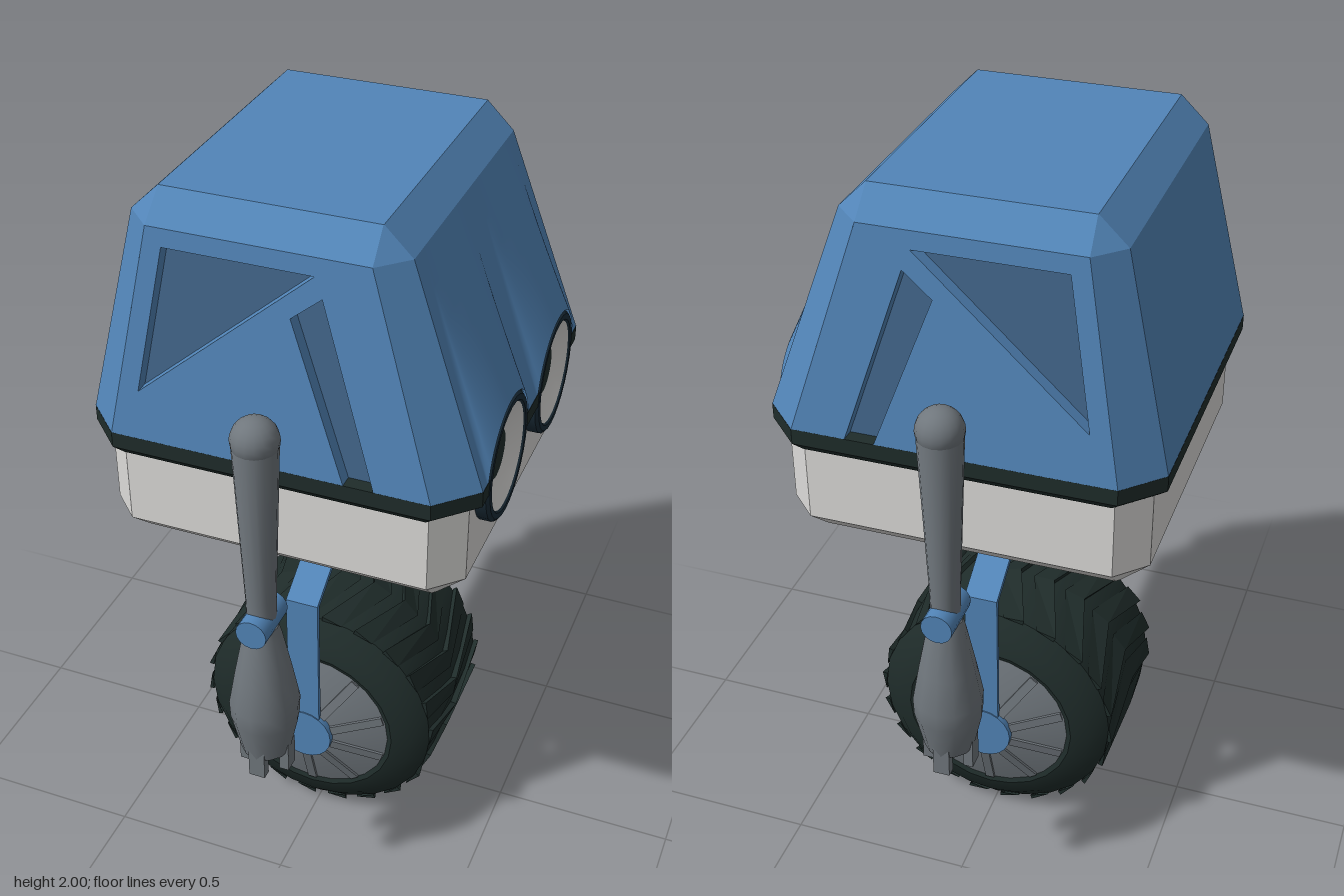
import * as THREE from 'three';
import { toCreasedNormals } from 'three/addons/utils/BufferGeometryUtils.js';

const mat = (name, color, side = THREE.FrontSide) => {
  const m = new THREE.MeshStandardMaterial({ color, side });
  m.name = name;
  return m;
};

export function createModel() {
  const root = new THREE.Group();
  root.name = 'unicycleRobot';
  const blue = mat('blue paint', 0x5285b8, THREE.DoubleSide);
  const deepBlue = mat('recess blue', 0x416488);
  const white = mat('off white', 0xdcdbd9);
  const gray = mat('gray metal', 0x70777d);
  const rubber = mat('black rubber', 0x1f2c2a, THREE.DoubleSide);
  const navy = mat('dark navy', 0x1b2d39);

  const add = (name, geo, material, parent = root) => {
    const m = new THREE.Mesh(geo, material);
    m.name = name;
    parent.add(m);
    return m;
  };
  const lathe = (pts, seg, crease = 0.6) =>
    toCreasedNormals(new THREE.LatheGeometry(pts.map(p => new THREE.Vector2(...p)), seg), crease);
  const shapeOf = pts => new THREE.Shape(pts.map(p => new THREE.Vector2(...p)));
  // Flat-shaded faces from convex polygons
  const polys = list => {
    const v = [];
    for (const p of list)
      for (let i = 1; i < p.length - 1; i++) v.push(...p[0], ...p[i], ...p[i + 1]);
    const g = new THREE.BufferGeometry();
    g.setAttribute('position', new THREE.Float32BufferAttribute(v, 3));
    g.computeVertexNormals();
    return g;
  };
  // Chamfered rectangle ring at height y; edge 0 is +x, 2 is -z, 4 is -x, 6 is +z
  const ring = (x0, x1, z, c, y) => [
    [x1, y, z - c], [x1, y, c - z], [x1 - c, y, -z], [x0 + c, y, -z],
    [x0, y, c - z], [x0, y, z - c], [x0 + c, y, z], [x1 - c, y, z]];
  const band = (a, b, skip = []) => a.map((p, i) => {
    const j = (i + 1) % a.length;
    return [p, a[j], b[j], b[i]];
  }).filter((_, i) => !skip.includes(i));

  // Lower body tub
  const t0 = ring(-0.395, 0.395, 0.395, 0.01, 1.04);
  const t1 = ring(-0.47, 0.47, 0.47, 0.075, 1.11);
  const t2 = ring(-0.47, 0.47, 0.47, 0.075, 1.34);
  add('lowerBody', polys([...band(t0, t1), ...band(t1, t2), [...t0].reverse()]), white);

  // Upper shell: corners, back, roof bevels and roof
  const s0 = ring(-0.505, 0.505, 0.505, 0.095, 1.385);
  const s1 = ring(-0.38, 0.308, 0.44, 0.07, 1.93);
  const s2 = ring(-0.307, 0.237, 0.37, 0.001, 2.0);
  add('upperShell', polys([...band(s0, s1, [0, 2, 6]), ...band(s1, s2), s2]), blue);

  // Face panel sweeping from the roof down to hoods over the eyes
  const eyeY = 1.357, eyeZ = 0.206, eyeR = 0.165;
  const face = new THREE.PlaneGeometry(2, 1, 80, 6);
  const fp = face.attributes.position;
  for (let i = 0; i < fp.count; i++) {
    const t = -fp.getX(i), k = 0.5 - fp.getY(i);
    const zb = t * 0.41, d = Math.abs(zb) - eyeZ;
    const yb = Math.max(1.385, eyeY + Math.sqrt(Math.max(0, eyeR * eyeR - d * d)));
    fp.setXYZ(i, 0.308 + 0.197 * k, 1.93 + (yb - 1.93) * k, t * 0.37 + (zb - t * 0.37) * k);
  }
  face.computeVertexNormals();
  add('facePanel', face, blue);

  // Side panels with a recessed triangle and a slanted slot
  const onSide = g => {
    const p = g.attributes.position;
    for (let i = 0; i < p.count; i++)
      p.setZ(i, p.getZ(i) + 0.505 - (p.getY(i) - 1.385) * 0.1193);
    g.computeVertexNormals();
    return g;
  };
  const panel = shapeOf([[-0.41, 1.385], [0.195, 1.385], [0.05, 1.775], [0.125, 1.835],
    [0.27, 1.385], [0.41, 1.385], [0.238, 1.93], [-0.31, 1.93]]);
  panel.holes.push(shapeOf([[-0.27, 1.885], [0.105, 1.885], [-0.335, 1.513]]));
  const panelGeo = onSide(new THREE.ExtrudeGeometry(panel, { depth: 0.04, bevelEnabled: false }).translate(0, 0, -0.04));
  const floorGeo = onSide(new THREE.ShapeGeometry(
    shapeOf([[-0.4, 1.385], [0.4, 1.385], [0.23, 1.92], [-0.3, 1.92]])).translate(0, 0, -0.036));

  // Rubber belt, notched behind the eyes
  const a = eyeZ - 0.15, b = eyeZ + 0.15;
  const beltShape = shapeOf([[0.41, -0.505], [0.505, -0.41], [0.505, -b], [0.46, -b], [0.46, -a], [0.505, -a],
    [0.505, a], [0.46, a], [0.46, b], [0.505, b], [0.505, 0.41], [0.41, 0.505],
    [-0.41, 0.505], [-0.505, 0.41], [-0.505, -0.41], [-0.41, -0.505]]);
  const belt = (y, h, shrink) => {
    const g = new THREE.ExtrudeGeometry(beltShape, { depth: h, bevelEnabled: false }).rotateX(-Math.PI / 2);
    const p = g.attributes.position;
    for (let i = 0; i < p.count; i++) {
      const k = p.getY(i) < h / 2 ? shrink : 1;
      p.setXYZ(i, p.getX(i) * k, p.getY(i) + y, p.getZ(i) * k);
    }
    g.computeVertexNormals();
    return g;
  };
  add('belt', belt(1.345, 0.042, 1), rubber);
  add('beltLip', belt(1.32, 0.025, 0.955), rubber);

  // Swivel neck
  add('neck', lathe([[0, 0.882], [0.07, 0.885], [0.14, 0.915], [0.14, 0.935], [0.19, 0.935], [0.2, 0.945],
    [0.2, 0.97], [0.18, 0.97], [0.18, 0.995], [0.24, 1.0], [0.265, 1.04]], 16, 0.4), gray);

  // Wheel
  const wheel = new THREE.Group();
  wheel.name = 'wheel';
  wheel.position.y = 0.35;
  root.add(wheel);
  add('tire', lathe([[0.225, -0.25], [0.24, -0.256], [0.29, -0.24], [0.335, -0.2],
    [0.335, 0.2], [0.29, 0.24], [0.24, 0.256], [0.225, 0.25]], 24, 0.5).rotateX(Math.PI / 2), rubber, wheel);
  const P = (ang, z, r) => [r * Math.cos(ang), r * Math.sin(ang), z];
  const tread = [];
  for (let i = 0; i < 22; i++) {
    const t = i / 22 * Math.PI * 2;
    for (const s of [-1, 1]) {
      const A = P(t, 0, 0.338), B = P(t + 0.22, s * 0.205, 0.336);
      const C = P(t + 0.17, 0, 0.35), D = P(t + 0.39, s * 0.205, 0.347);
      const E = P(t + 0.17, 0, 0.333), F = P(t + 0.39, s * 0.205, 0.333);
      const quads = [[A, B, D, C], [C, D, F, E], [B, F, D]];
      tread.push(...quads.map(q => (s > 0 ? q.reverse() : q)));
    }
  }
  add('tread', polys(tread), rubber, wheel);

  // Fork over the wheel
  const fork = new THREE.ExtrudeGeometry(shapeOf([
    [-0.312, 0.35], [-0.312, 0.823], [-0.2, 0.893], [0.2, 0.893], [0.312, 0.823], [0.312, 0.35],
    [0.299, 0.35], [0.299, 0.813], [0.196, 0.878], [-0.196, 0.878], [-0.299, 0.813], [-0.299, 0.35]]),
    { depth: 0.09, bevelEnabled: false });
  add('fork', fork.translate(0, 0, -0.045).rotateY(-Math.PI / 2), blue);

  // Eyes on the +x face
  const eyeParts = [
    ['eyeRim', [[eyeR, -0.05], [eyeR, -0.008], [0.157, 0], [0.142, 0], [0.136, -0.006]], navy],
    ['eyeDish', [[0.139, -0.004], [0.1, -0.022], [0.062, -0.03]], white],
    ['pupil', [[0.064, -0.029], [0, -0.029]], rubber]];

  // Paired parts, mirrored across z
  for (const s of [1, -1]) {
    const half = new THREE.Group();
    half.name = s > 0 ? 'leftHalf' : 'rightHalf';
    half.scale.z = s;
    root.add(half);
    add('sidePanel', panelGeo, blue, half);
    add('panelRecess', floorGeo, deepBlue, half);
    for (const [name, pts, m] of eyeParts) {
      const e = add(name, lathe(pts, 28).rotateZ(-Math.PI / 2), m, half);
      e.position.set(0.507, eyeY, eyeZ);
      e.scale.z = 0.97;
    }
    // Hub cone with raised spokes, and axle cap
    const hub = add('hub', lathe([[0.235, 0.248], [0.08, 0.296], [0, 0.296]], 24).rotateX(Math.PI / 2), gray, half);
    hub.position.y = 0.35;
    for (let i = 0; i < 10; i++) {
      const arm = new THREE.Group();
      arm.name = 'spoke';
      arm.position.y = 0.35;
      arm.rotation.z = (i + 0.5) / 10 * Math.PI * 2;
      half.add(arm);
      const bar = add('spokeBar', new THREE.BoxGeometry(0.15, 0.026, 0.014), gray, arm);
      bar.position.set(0.15, 0, 0.274);
      bar.rotation.y = 0.3;
    }
    const cap = add('axleCap', new THREE.CylinderGeometry(0.08, 0.08, 0.022, 20).rotateX(Math.PI / 2), blue, half);
    cap.position.set(0, 0.35, 0.304);

    // Arm
    const arm = new THREE.Group();
    arm.name = 'arm';
    arm.position.z = 0.56;
    half.add(arm);
    add('shoulder', new THREE.SphereGeometry(0.06, 16, 12), gray, arm).position.y = 1.502;
    add('upperArm', lathe([[0, 0.97], [0.038, 0.97], [0.039, 1.04], [0.057, 1.48], [0.05, 1.53]], 16), gray, arm);
    add('elbow', new THREE.CylinderGeometry(0.041, 0.041, 0.135, 16).rotateX(Math.PI / 2), blue, arm).position.y = 0.965;
    add('forearm', lathe([[0, 0.54], [0.066, 0.54], [0.09, 0.65], [0.092, 0.7], [0.074, 0.8],
      [0.05, 0.92], [0.042, 0.95], [0, 0.96]], 12), gray, arm);
    for (const [x, z] of [[0, 0.053], [0.056, -0.005], [-0.056, -0.005]])
      add('finger', new THREE.BoxGeometry(x ? 0.026 : 0.044, 0.09, x ? 0.044 : 0.026), gray, arm).position.set(x, 0.525, z);
  }
  return root;
}
